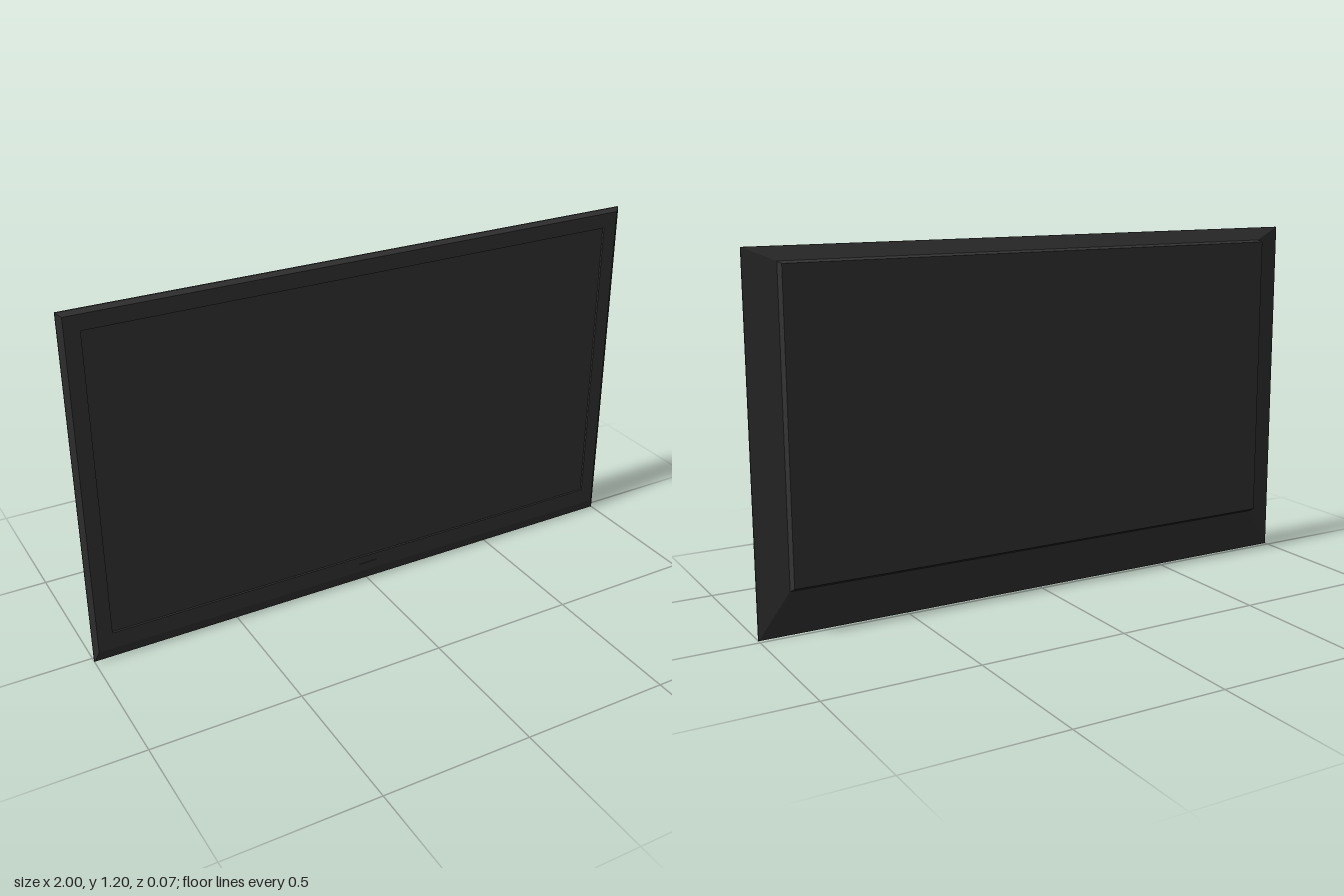
import * as THREE from 'three';

// A rectangular ring: half width, bottom, top, depth
const ring = (hx, y0, y1, z) => [[-hx, y0, z], [hx, y0, z], [hx, y1, z], [-hx, y1, z]];

// Flat-shaded skin through rings listed from front to back, with optional caps
function loft(rings, capFront, capBack) {
  const pos = [];
  const quad = (a, b, c, d) => pos.push(...a, ...b, ...c, ...a, ...c, ...d);
  for (let i = 0; i < rings.length - 1; i++) {
    const a = rings[i], b = rings[i + 1];
    for (let k = 0; k < 4; k++) {
      const n = (k + 1) % 4;
      quad(a[k], b[k], b[n], a[n]);
    }
  }
  if (capFront) quad(...rings[0]);
  if (capBack) quad(...[...rings[rings.length - 1]].reverse());
  const geo = new THREE.BufferGeometry();
  geo.setAttribute('position', new THREE.Float32BufferAttribute(pos, 3));
  geo.computeVertexNormals();
  return geo;
}

export function createModel() {
  const group = new THREE.Group();
  const mat = new THREE.MeshStandardMaterial({ color: 0x333333, flatShading: true });
  const add = (name, geo) => {
    const mesh = new THREE.Mesh(geo, mat);
    mesh.name = name;
    group.add(mesh);
    return mesh;
  };

  // Screen glass, set slightly into the bezel
  add('screen', loft([ring(0.935, 0.097, 1.137, 0.026)], true, false));

  // Bezel: recess wall, flat front, bevelled edge with a taller slope at the bottom
  add('bezel', loft([
    ring(0.935, 0.097, 1.137, 0.026),
    ring(0.935, 0.097, 1.137, 0.033),
    ring(0.985, 0.038, 1.188, 0.033),
    ring(0.998, 0.004, 1.197, 0.024),
    ring(1.0, 0, 1.2, 0.021),
    ring(1.0, 0, 1.2, 0.015),
  ], false, false));

  // Sloping rear shell
  add('rearShell', loft([
    ring(1.0, 0, 1.2, 0.015),
    ring(0.9, 0.147, 1.157, -0.004),
  ], false, false));

  // Raised housing on the back
  add('backHousing', loft([
    ring(0.9, 0.147, 1.157, -0.004),
    ring(0.896, 0.162, 1.152, -0.034),
  ], false, true));

  // Plain status bar in the middle of the lower bezel
  const bar = add('statusBar', new THREE.BoxGeometry(0.07, 0.016, 0.004));
  bar.position.set(0, 0.062, 0.033);

  return group;
}
